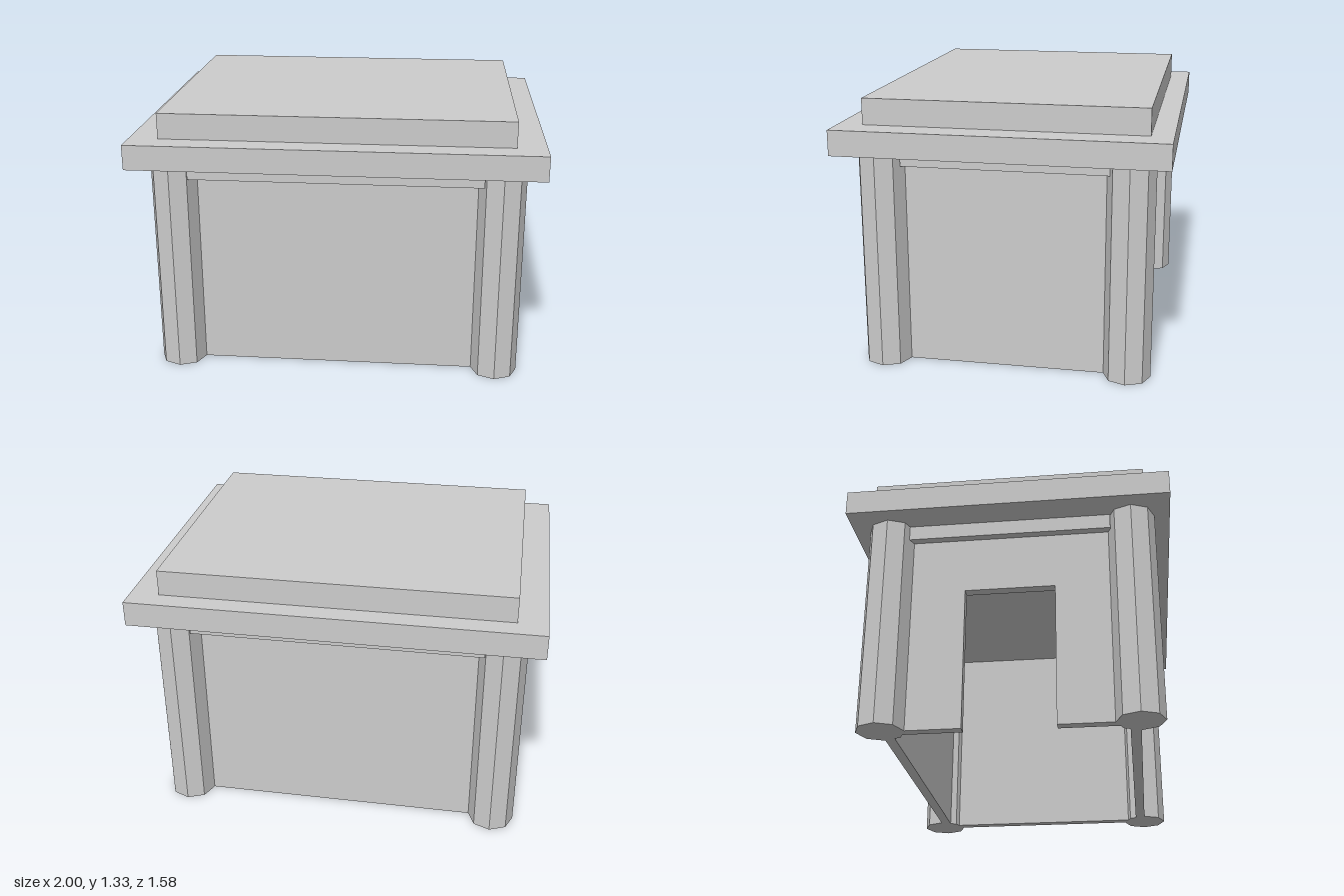
import * as THREE from 'three';

const material = new THREE.MeshStandardMaterial({ color: 0xcccccc, flatShading: true });

export function createModel() {
  const model = new THREE.Group();
  model.name = 'pavilion';

  const add = (name, geometry) => {
    const mesh = new THREE.Mesh(geometry, material);
    mesh.name = name;
    model.add(mesh);
    return mesh;
  };
  // Box given by its lower and upper limits on each axis
  const box = (name, [x0, x1], [y0, y1], [z0, z1]) =>
    add(name, new THREE.BoxGeometry(x1 - x0, y1 - y0, z1 - z0))
      .position.set((x0 + x1) / 2, (y0 + y1) / 2, (z0 + z1) / 2);

  const eaves = 1.08, cx = 0.805, cz = 0.6, thick = 0.05;

  // Octagonal corner columns
  for (const sx of [-1, 1]) for (const sz of [-1, 1]) {
    add('cornerColumn', new THREE.CylinderGeometry(0.115, 0.115, eaves, 8))
      .position.set(sx * cx, eaves / 2, sz * cz);
  }

  // Solid walls on the front, back and left
  box('frontWall', [-cx, cx], [0, eaves], [cz - thick, cz]);
  box('backWall', [-cx, cx], [0, eaves], [-cz, -cz + thick]);
  box('leftWall', [cx - thick, cx], [0, eaves], [-cz, cz]);

  // Right wall with a doorway, drawn flat and turned to face the side
  const doorHalf = 0.22, doorTop = 0.72;
  const outline = new THREE.Shape([
    [-cz, 0], [-doorHalf, 0], [-doorHalf, doorTop], [doorHalf, doorTop],
    [doorHalf, 0], [cz, 0], [cz, eaves], [-cz, eaves],
  ].map(([x, y]) => new THREE.Vector2(x, y)));
  const doorWall = add('doorwayWall',
    new THREE.ExtrudeGeometry(outline, { depth: thick, bevelEnabled: false }));
  doorWall.rotation.y = Math.PI / 2;
  doorWall.position.x = -cx;

  // Lintel beams under the roof
  const beamY = [1.005, eaves];
  box('frontBeam', [-0.72, 0.715], beamY, [0.58, 0.685]);
  box('backBeam', [-0.72, 0.715], beamY, [-0.69, -0.58]);
  box('leftBeam', [0.77, 0.845], beamY, [-0.51, 0.497]);
  box('rightBeam', [-0.845, -0.77], beamY, [-0.51, 0.497]);

  // Stepped flat roof
  box('roofSlab', [-1, 1], [eaves, 1.203], [-0.79, 0.79]);
  box('upperRoofSlab', [-0.857, 0.857], [1.203, 1.33], [-0.685, 0.67]);

  return model;
}
